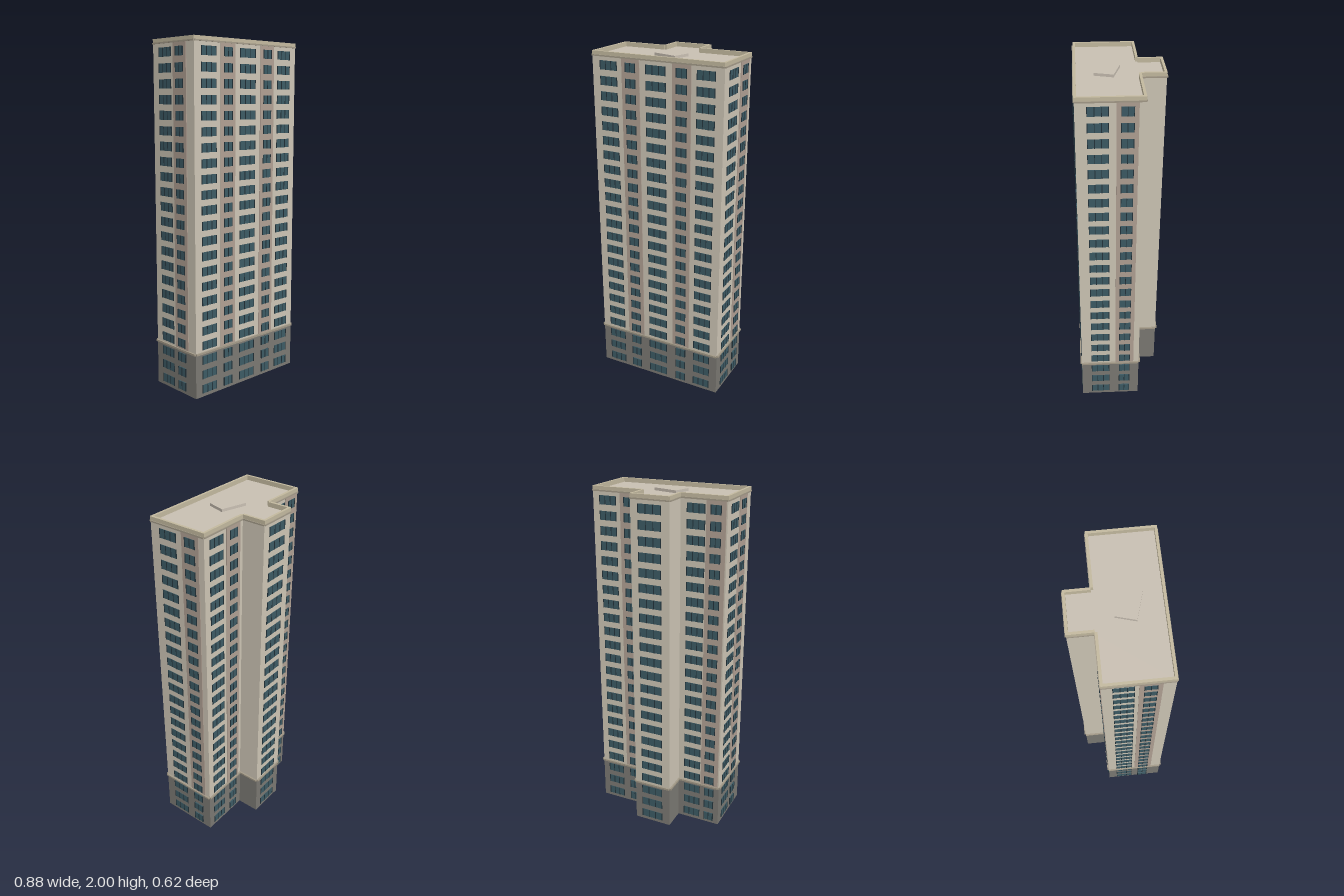
import * as THREE from 'three';
import { mergeGeometries } from 'three/addons/utils/BufferGeometryUtils.js';

const mat = (name, color) => {
  const m = new THREE.MeshStandardMaterial({ color });
  m.name = name;
  return m;
};

// Building plan, counter-clockwise from the front left corner (u along the front, v to the back)
const PLAN = [
  [-0.402, -0.193], [0.392, -0.193], [0.392, 0.154], [0.089, 0.154],
  [0.089, 0.288], [-0.138, 0.288], [-0.138, 0.154], [-0.402, 0.154],
];

// Window columns per wall: [distance along wall, width]; narrow ones sit on a coloured strip
const COLUMNS = [
  [[0.102, 0.104], [0.242, 0.06], [0.396, 0.118], [0.552, 0.06], [0.692, 0.102]],
  [[0.113, 0.105], [0.259, 0.062]],
  [[0.092, 0.1], [0.224, 0.058]],
  [],
  [[0.111, 0.13]],
  [],
  [[0.089, 0.1], [0.202, 0.056]],
  [[0.104, 0.1], [0.23, 0.06]],
];
const BASE_TOP = 0.255, WALL_TOP = 1.975;
const ROWS = 23, ROW_Y = 0.045, ROW_STEP = 0.0855, WINDOW_H = 0.05;

export function createModel() {
  const wall = mat('wall cream', 0xcdc5b5);
  const strip = mat('strip brown', 0xb0a093);
  const stone = mat('base grey', 0x7a7872);
  const glass = mat('window teal', 0x3c5a64);
  const frame = mat('frame dark', 0x22323a);
  const trim = mat('trim taupe', 0xa39a88);
  const coping = mat('parapet sand', 0xc3b99f);
  const roofing = mat('roof beige', 0xc8bfb2);

  const model = new THREE.Group();
  model.name = 'towerBlock';
  const tower = new THREE.Group();
  tower.name = 'tower';
  tower.rotation.y = THREE.MathUtils.degToRad(16.1);
  model.add(tower);

  const add = (parent, name, geometry, material) => {
    const mesh = new THREE.Mesh(geometry, material);
    mesh.name = name;
    parent.add(mesh);
    return mesh;
  };
  // Box given by its ranges in x, y and z
  const box = (x0, x1, y0, y1, z0, z1) =>
    new THREE.BoxGeometry(x1 - x0, y1 - y0, z1 - z0)
      .translate((x0 + x1) / 2, (y0 + y1) / 2, (z0 + z1) / 2);

  // Solid storeys extruded from the plan
  const shape = new THREE.Shape(PLAN.map(([u, v]) => new THREE.Vector2(u, v)));
  const storey = (y0, y1) =>
    new THREE.ExtrudeGeometry(shape, { depth: y1 - y0, bevelEnabled: false })
      .rotateX(-Math.PI / 2).translate(0, y0, 0);
  add(tower, 'base', storey(0, BASE_TOP), stone);
  add(tower, 'shaft', storey(BASE_TOP, WALL_TOP - 0.004), wall);
  add(tower, 'roof', storey(WALL_TOP - 0.004, WALL_TOP), roofing);

  // Every wall is dressed in its own frame: x along the wall, z outward
  PLAN.forEach(([u, v], i) => {
    const [u2, v2] = PLAN[(i + 1) % PLAN.length];
    const length = Math.hypot(u2 - u, v2 - v);
    const side = new THREE.Group();
    side.name = 'wallSide' + (i + 1);
    side.position.set(u, 0, -v);
    side.rotation.y = Math.atan2(v2 - v, u2 - u);
    tower.add(side);

    add(side, 'baseCornice', box(0, length, BASE_TOP, 0.266, -0.005, 0.01), trim);
    add(side, 'parapet', box(0, length, WALL_TOP, 2, -0.012, 0.002), coping);
    add(side, 'topCornice', box(0, length, 1.972, 1.98, -0.002, 0.006), trim);

    const panes = [], bars = [], strips = [];
    for (const [c, w] of COLUMNS[i]) {
      const narrow = w < 0.08;
      const z = narrow ? 0.004 : 0;
      if (narrow) strips.push(box(c - 0.055, c + 0.055, 0.266, 1.972, -0.002, 0.004));
      const count = narrow ? 2 : 3;
      for (let r = 0; r < ROWS; r++) {
        const y = ROW_Y + r * ROW_STEP;
        const y0 = y - WINDOW_H / 2, y1 = y + WINDOW_H / 2;
        panes.push(box(c - w / 2, c + w / 2, y0, y1, -0.002, z + 0.002));
        // Jambs and mullions
        for (let k = 0; k <= count; k++) {
          const x = c - w / 2 + (w * k) / count;
          bars.push(box(x - 0.002, x + 0.002, y0, y1, -0.002, z + 0.004));
        }
      }
    }
    if (strips.length) add(side, 'wallStrips', mergeGeometries(strips), strip);
    if (panes.length) {
      add(side, 'windowGlass', mergeGeometries(panes), glass);
      add(side, 'windowFrames', mergeGeometries(bars), frame);
    }
  });

  // Low hatch on the roof
  add(model, 'roofHatch', box(-0.078, 0.076, 1.97, 1.99, -0.036, 0.07), roofing);
  return model;
}
